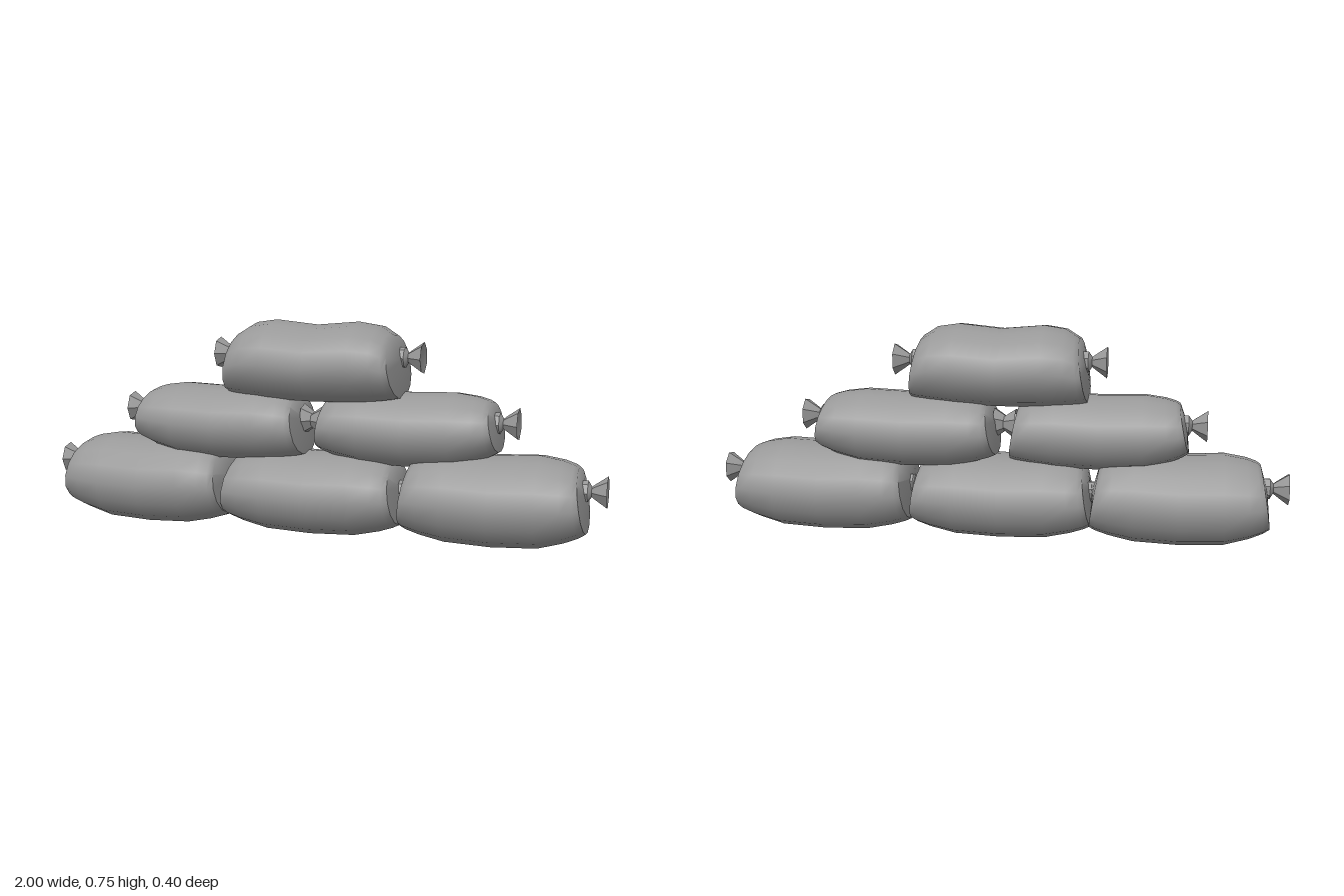
import * as THREE from 'three';
import { toCreasedNormals } from 'three/addons/utils/BufferGeometryUtils.js';

const SIDES = 16;

// Stuffed sack: oval rings along x, slanted end faces closed by shallow fans.
// low = [left, right] height of the end's underside; dip = sag of the top centre.
function sackGeometry({ half, height, depth, low, dip = 0.02, end = 0.89 }) {
  // station: position along length, depth factor, end-lift factor, top factor
  const stations = [
    [-1, 0.86, 1, end], [-0.93, 0.93, 0.8, end + 0.03], [-0.78, 0.97, 0.5, 0.96],
    [-0.5, 1, 0.12, 1], [0, 1, 0, 1 - dip], [0.5, 1, 0.12, 1],
    [0.78, 0.97, 0.5, 0.96], [0.93, 0.93, 0.8, end + 0.03], [1, 0.86, 1, end],
  ];
  const pos = [], idx = [];
  for (const [s, d, lift, top] of stations) {
    const y0 = lift * (s < 0 ? low[0] : low[1]);
    const y1 = top * height;
    for (let j = 0; j < SIDES; j++) {
      const a = (j / SIDES) * Math.PI * 2;
      const c = Math.sign(Math.cos(a)) * Math.abs(Math.cos(a)) ** 0.93;
      const slant = 0.018 * (1 + c) * Math.sign(s) * Math.abs(s) ** 3;
      pos.push(s * half - slant, (y0 + y1) / 2 + (c * (y1 - y0)) / 2, Math.sin(a) * depth * d);
    }
  }
  const last = stations.length - 1;
  for (let i = 0; i < last; i++) {
    for (let j = 0; j < SIDES; j++) {
      const a = i * SIDES + j, b = i * SIDES + ((j + 1) % SIDES);
      idx.push(a, b, a + SIDES, b, b + SIDES, a + SIDES);
    }
  }
  // end faces
  [-1, 1].forEach((side, e) => {
    const centre = pos.length / 3;
    pos.push(side * (half - 0.01), (low[e] + end * height) / 2 + 0.02, 0);
    const row = side < 0 ? 0 : last * SIDES;
    for (let j = 0; j < SIDES; j++) {
      const a = row + j, b = row + ((j + 1) % SIDES);
      idx.push(centre, ...(side > 0 ? [a, b] : [b, a]));
    }
  });
  const g = new THREE.BufferGeometry();
  g.setAttribute('position', new THREE.Float32BufferAttribute(pos, 3));
  g.setIndex(idx);
  return toCreasedNormals(g, 0.8);
}

// Gathered, tied end: collar, pinched neck and flared frill
function knotGeometry() {
  const profile = [
    [0.036, -0.04], [0.037, 0.008], [0.018, 0.02], [0.026, 0.03], [0.056, 0.072], [0, 0.06],
  ].map(([r, h]) => new THREE.Vector2(r, h));
  return toCreasedNormals(new THREE.LatheGeometry(profile, 7), 0.7);
}

export function createModel() {
  const model = new THREE.Group();
  model.name = 'sackPile';
  const cloth = new THREE.MeshStandardMaterial({ color: 0x999999 });
  cloth.name = 'grey cloth';
  const knot = knotGeometry();

  // knots = [y, z] of the left-hand and right-hand ties in sack space
  const sacks = [
    { name: 'bottomSackRight', at: [-0.63, 0, 0], half: 0.31, height: 0.32, depth: 0.192, low: [0.07, 0.05], knots: [[0.21, -0.01], [0.17, 0]] },
    { name: 'bottomSackCentre', at: [-0.01, 0, -0.002], half: 0.32, height: 0.3, depth: 0.188, low: [0.055, 0.055], knots: [[0.17, 0], [0.17, 0]] },
    { name: 'bottomSackLeft', at: [0.625, 0.003, -0.003], half: 0.315, height: 0.32, depth: 0.195, low: [0.05, 0.07], knots: [[0.17, 0], [0.207, -0.003]] },
    { name: 'middleSackRight', at: [-0.348, 0.255, 0.01], half: 0.31, height: 0.265, depth: 0.165, low: [0.07, 0.03], knots: [[0.165, -0.01], [0.15, 0]] },
    { name: 'middleSackLeft', at: [0.322, 0.255, -0.028], half: 0.318, height: 0.265, depth: 0.167, low: [0.05, 0.07], knots: [[0.15, 0.03], [0.167, 0.012]] },
    { name: 'topSack', at: [-0.003, 0.472, 0.003], half: 0.308, height: 0.283, depth: 0.195, low: [0.022, 0.025], dip: 0.05, end: 0.85, knots: [[0.16, 0], [0.16, -0.037]] },
  ];

  for (const s of sacks) {
    const sack = new THREE.Group();
    sack.name = s.name;
    sack.position.set(...s.at);
    const body = new THREE.Mesh(sackGeometry(s), cloth);
    body.name = 'sackBody';
    sack.add(body);
    s.knots.forEach(([y, z], e) => {
      const side = e ? 1 : -1;
      const tie = new THREE.Mesh(knot, cloth);
      tie.name = e ? 'leftKnot' : 'rightKnot';
      tie.position.set(side * (s.half - 0.012), y, z);
      tie.rotation.z = (-side * Math.PI) / 2;
      sack.add(tie);
    });
    model.add(sack);
  }
  return model;
}
